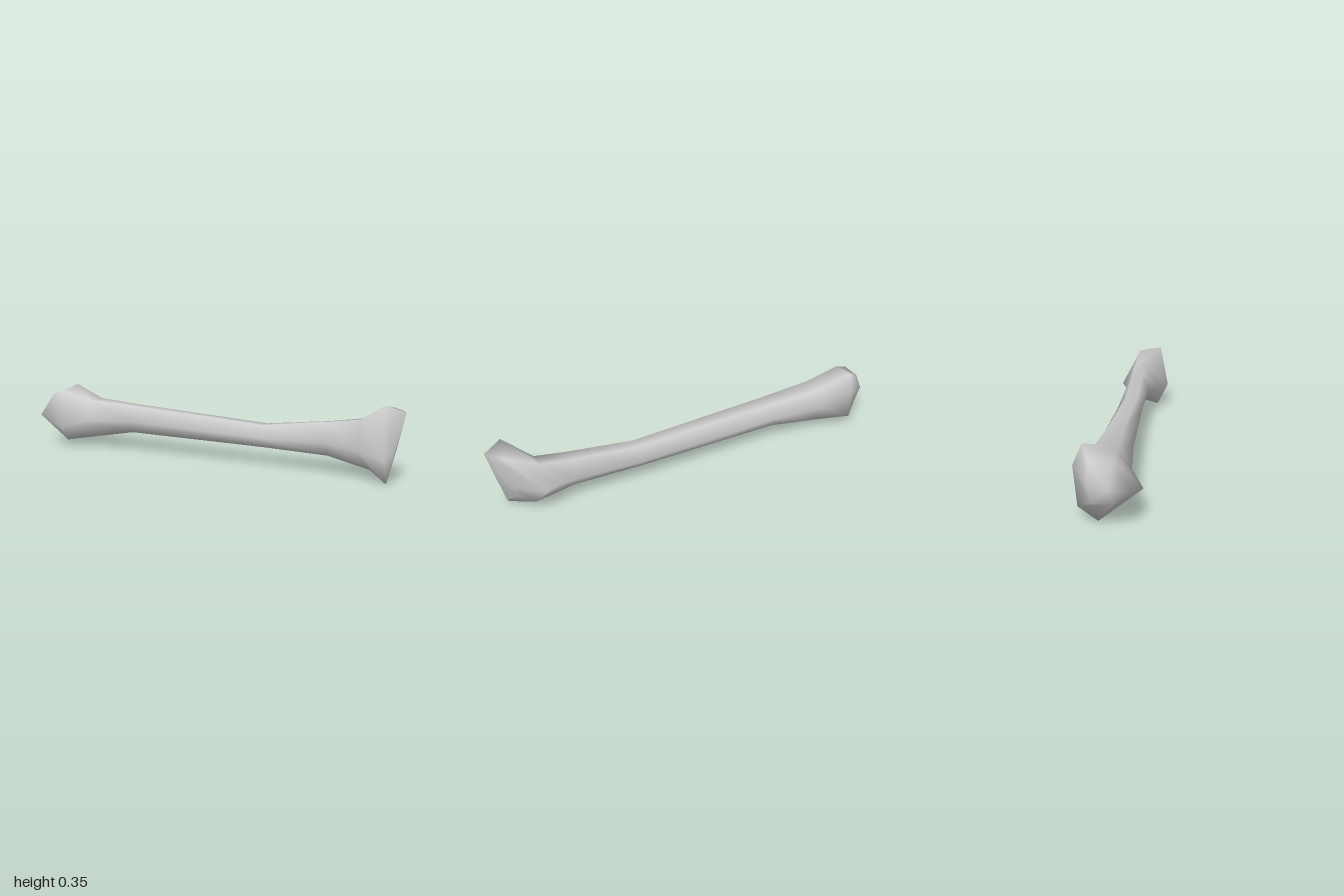
import * as THREE from 'three';

// Shaft section: six (y, z) corners at one x, ordered
// top front, top back, back, bottom back, bottom front, front
const flat = (x, ...yz) => yz.map(([y, z]) => [x, y, z]);

function loft(rings, startTip, endTip) {
  const n = rings[0].length;
  const points = [...rings.flat(), startTip, endTip];
  const start = points.length - 2, end = points.length - 1;
  const last = (rings.length - 1) * n;
  const index = [];
  for (let j = 0; j < n; j++) {
    const k = (j + 1) % n;
    for (let i = 0; i < rings.length - 1; i++) {
      const a = i * n + j, b = i * n + k, c = a + n, d = b + n;
      index.push(a, c, b, b, c, d);
    }
    index.push(start, j, k, end, last + k, last + j);
  }
  const geometry = new THREE.BufferGeometry();
  geometry.setAttribute('position', new THREE.Float32BufferAttribute(points.flat(), 3));
  geometry.setIndex(index);
  geometry.computeVertexNormals();
  return geometry;
}

export function createModel() {
  const group = new THREE.Group();
  group.name = 'bone';
  const boneGrey = new THREE.MeshStandardMaterial({ color: 0xcccccc });
  boneGrey.name = 'boneGrey';

  // Rounded knob at the -x end
  const knobEnd = [[-0.96, 0.27, 0], [-0.96, 0.27, -0.1], [-1, 0.18, -0.1],
    [-0.98, 0.1, -0.09], [-0.98, 0.1, 0], [-1, 0.16, 0.065]];
  const knobRim = [[-0.9, 0.288, 0], [-0.89, 0.315, -0.13], [-0.88, 0.22, -0.17],
    [-0.9, 0.055, -0.15], [-0.92, 0.003, -0.065], [-0.83, 0.11, 0.11]];

  // Slender shaft, widening towards both ends
  const shaft = [
    flat(-0.71, [0.25, 0], [0.25, -0.1], [0.17, -0.15], [0.055, -0.09], [0.05, 0], [0.15, 0.055]),
    flat(-0.45, [0.237, 0], [0.235, -0.08], [0.165, -0.118], [0.097, -0.075], [0.097, 0], [0.16, 0.045]),
    flat(0.3, [0.2, 0.02], [0.2, -0.04], [0.14, -0.085], [0.09, -0.05], [0.09, 0.01], [0.14, 0.047]),
    flat(0.63, [0.245, 0.03], [0.24, -0.03], [0.15, -0.072], [0.09, -0.03], [0.085, 0.03], [0.15, 0.065]),
  ];

  // Slanted hammer-shaped head at the +x end
  const neck = [[0.79, 0.27, 0.04], [0.78, 0.265, -0.025], [0.71, 0.15, -0.07],
    [0.77, 0.068, -0.03], [0.84, 0.045, 0.055], [0.79, 0.14, 0.11]];
  const headRim = [[0.91, 0.355, 0.125], [0.93, 0.33, 0], [0.79, 0.155, -0.097],
    [0.83, 0.065, -0.035], [0.925, 0, 0.105], [0.93, 0.12, 0.17]];
  const headEnd = [[1, 0.325, 0.09], [0.98, 0.325, 0.045], [0.92, 0.17, -0.01],
    [0.9, 0.08, 0.03], [0.93, 0.005, 0.112], [0.962, 0.15, 0.125]];

  const bone = new THREE.Mesh(
    loft([knobEnd, knobRim, ...shaft, neck, headRim, headEnd],
      [-1, 0.165, -0.02], [0.963, 0.17, 0.07]),
    boneGrey);
  bone.name = 'shaftAndEnds';
  group.add(bone);
  return group;
}
